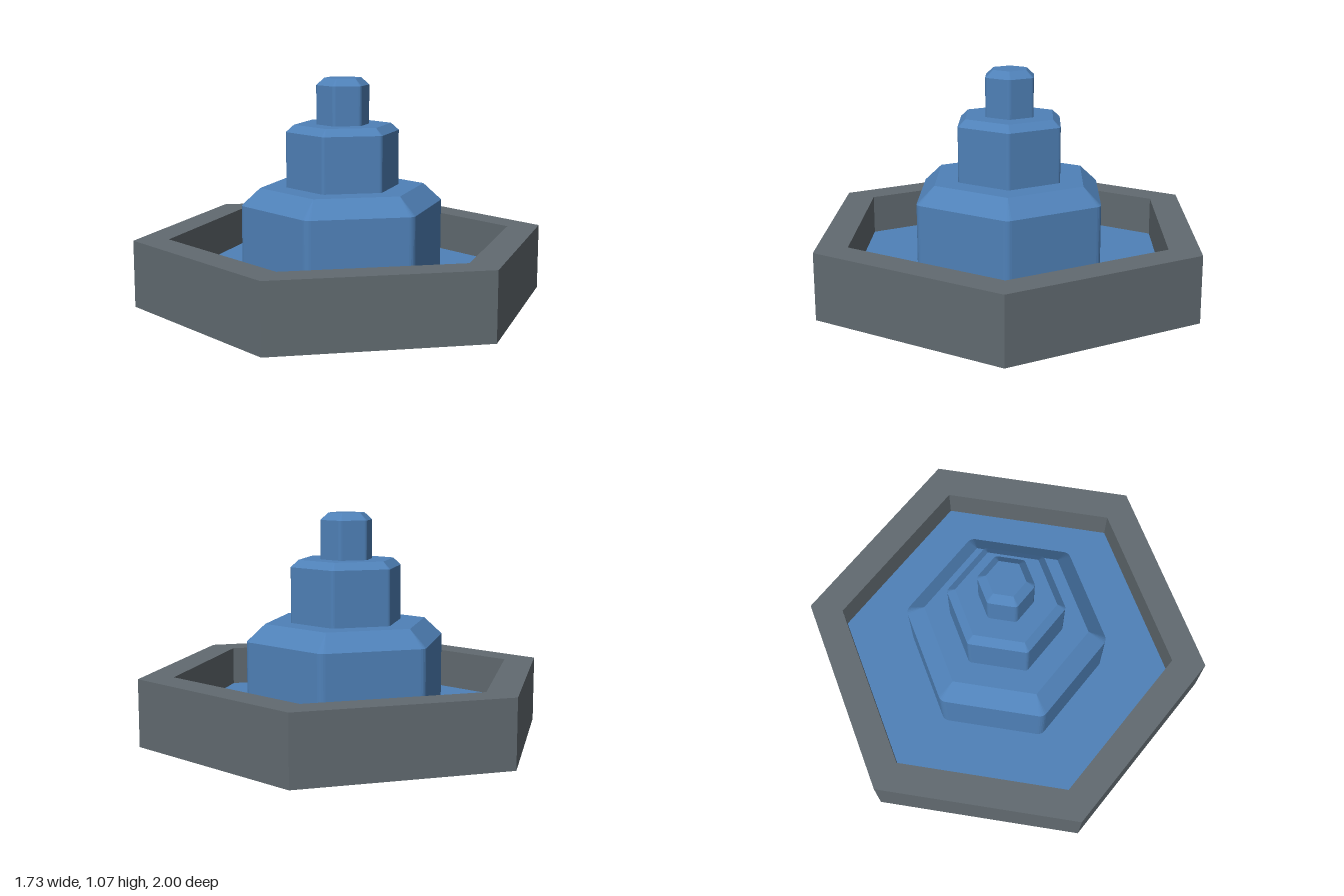
import * as THREE from 'three';
import { ConvexGeometry } from 'three/addons/geometries/ConvexGeometry.js';

const stone = new THREE.MeshStandardMaterial({ color: 0x616a70 });
const blue = new THREE.MeshStandardMaterial({ color: 0x4f81b8 });

// Give every face its own normal, for crisp hexagonal edges
function faceted(geometry) {
  const flat = geometry.toNonIndexed();
  flat.computeVertexNormals();
  return flat;
}

// Points of a hexagon (corners on the z axis) whose corners are rounded by `round`
function hexRing(radius, round, y) {
  const points = [];
  const centre = radius - round / Math.cos(Math.PI / 6);
  const steps = round > 0 ? 4 : 0;
  for (let i = 0; i < 6; i++) {
    const corner = (i * Math.PI) / 3;
    for (let j = 0; j <= steps; j++) {
      const a = corner + (steps ? (j / steps - 0.5) * (Math.PI / 3) : 0);
      points.push(new THREE.Vector3(
        Math.sin(corner) * centre + Math.sin(a) * round,
        y,
        Math.cos(corner) * centre + Math.cos(a) * round
      ));
    }
  }
  return points;
}

export function createModel() {
  const group = new THREE.Group();
  const add = (name, geometry, material) => {
    const mesh = new THREE.Mesh(geometry, material);
    mesh.name = name;
    group.add(mesh);
  };

  // Hexagonal basin: underside, outer wall, rim and inner wall
  const profile = [[0, 0], [1, 0], [1, 0.32], [0.835, 0.32], [0.835, 0.12]]
    .map(([r, y]) => new THREE.Vector2(r, y));
  add('basin', faceted(new THREE.LatheGeometry(profile, 6)), stone);

  // Sheet filling the basin
  const sheet = new THREE.CylinderGeometry(0.835, 0.835, 0.009, 6);
  sheet.translate(0, 0.1255, 0);
  add('basinFloor', faceted(sheet), blue);

  // Stacked tiers with chamfered tops
  const tiers = [
    { name: 'lowerTier', radius: 0.495, top: 0.4, y0: 0.125, y1: 0.47, y2: 0.552, round: 0.04 },
    { name: 'middleTier', radius: 0.277, top: 0.236, y0: 0.54, y1: 0.817, y2: 0.851, round: 0.02 },
    { name: 'upperTier', radius: 0.131, top: 0.09, y0: 0.84, y1: 1.037, y2: 1.071, round: 0.02 },
  ];
  for (const t of tiers) {
    add(t.name, new ConvexGeometry([
      ...hexRing(t.radius, t.round, t.y0),
      ...hexRing(t.radius, t.round, t.y1),
      ...hexRing(t.top, 0, t.y2),
    ]), blue);
  }
  return group;
}
